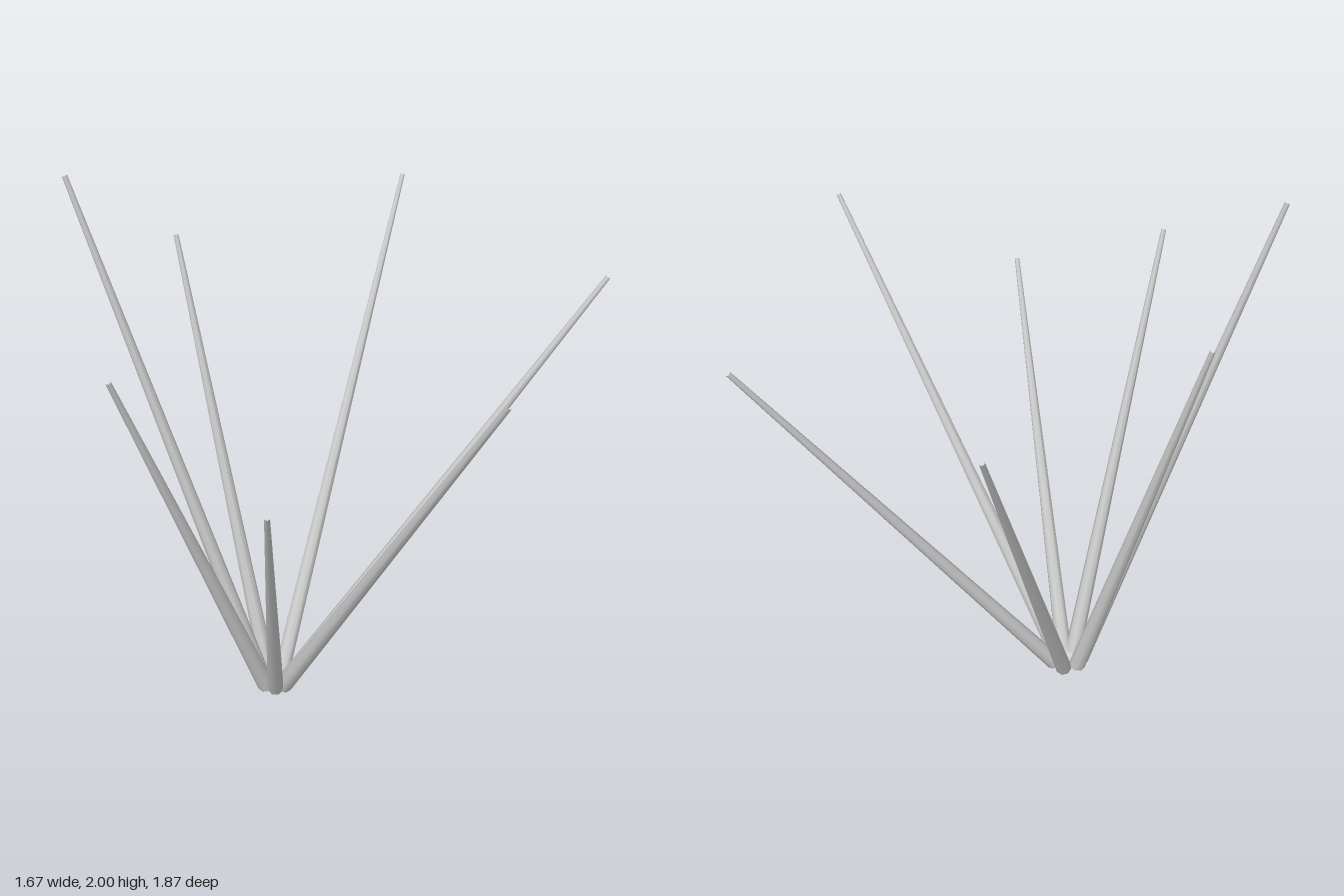
import * as THREE from 'three';

const BASE_RADIUS = 0.032, TIP_RADIUS = 0.009;
const CENTRE = new THREE.Vector3(-0.18, 0.016, 0.14);
const RING = 0.053; // distance of each stalk's foot from the centre

// Tip centre of each stalk
const TIPS = [
  [-0.14, 1.7, -0.928],
  [0.787, 1.61, -0.535],
  [0.824, 1.693, 0.612],
  [0.222, 1.345, 0.928],
  [-0.365, 1.597, 0.813],
  [-0.826, 1.998, 0.29],
  [-0.67, 1.665, -0.122],
];

// Tapered hollow rod between two points
function taperedRod(from, to, material) {
  const axis = to.clone().sub(from);
  const rod = new THREE.Mesh(
    new THREE.CylinderGeometry(TIP_RADIUS, BASE_RADIUS, axis.length(), 8, 1, true),
    material,
  );
  rod.position.copy(from).add(to).multiplyScalar(0.5);
  rod.quaternion.setFromUnitVectors(new THREE.Vector3(0, 1, 0), axis.normalize());
  return rod;
}

export function createModel() {
  const group = new THREE.Group();
  group.name = 'stalkCluster';
  const lightGrey = new THREE.MeshStandardMaterial({ color: 0xcccccc });
  lightGrey.name = 'lightGrey';

  // Stalks fan outwards from a small ring of feet
  TIPS.forEach((p, i) => {
    const tip = new THREE.Vector3(...p);
    const foot = tip.clone().sub(CENTRE).setY(0).setLength(RING).add(CENTRE);
    const stalk = taperedRod(foot, tip, lightGrey);
    stalk.name = `stalk${i + 1}`;
    group.add(stalk);
  });
  return group;
}
